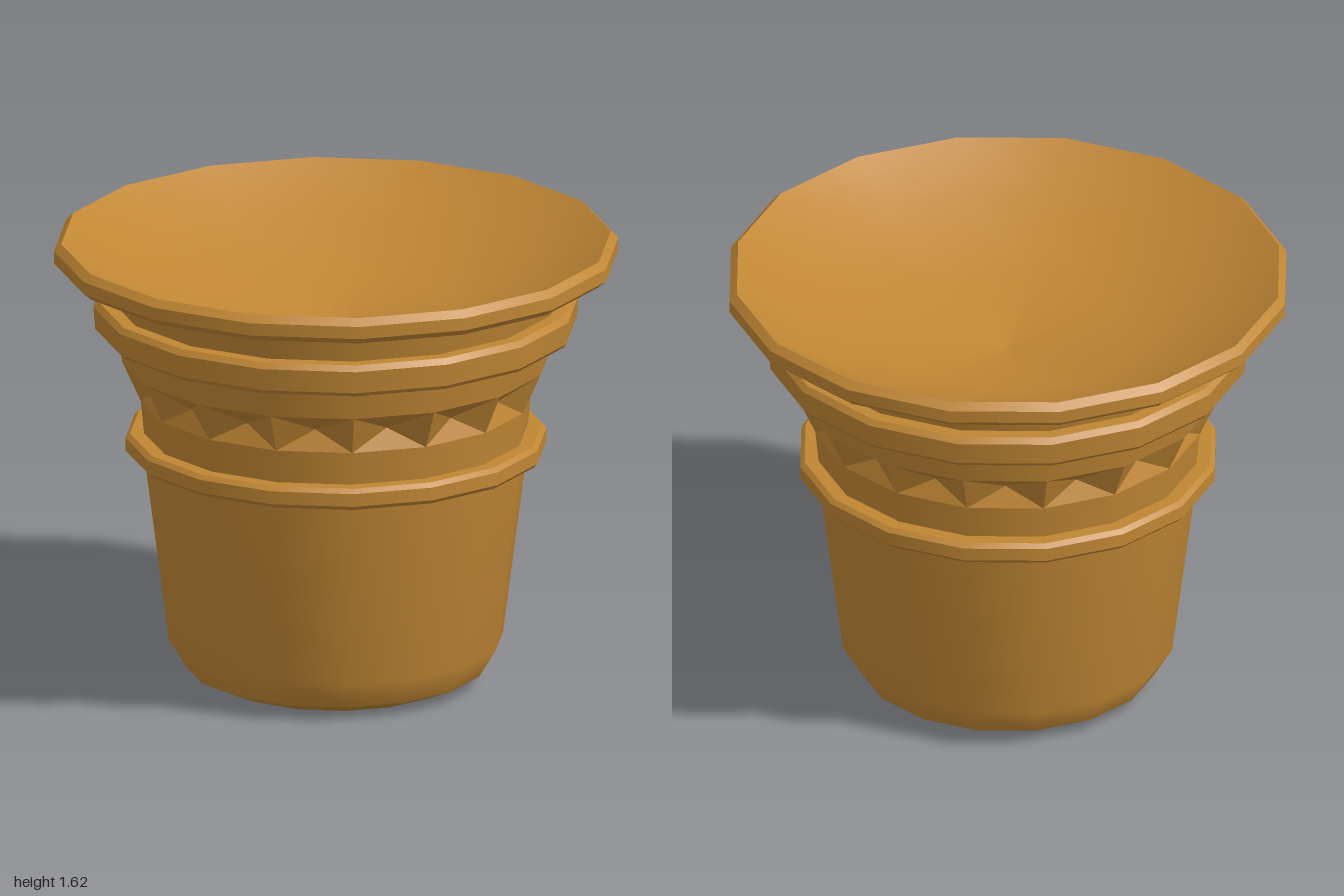
import * as THREE from 'three';
import { mergeGeometries } from 'three/addons/utils/BufferGeometryUtils.js';

const SIDES = 16;
const CREASE = Math.PI / 6;

export function createModel() {
  const group = new THREE.Group();
  group.name = 'pot';
  const material = new THREE.MeshStandardMaterial({ color: 0xc08634 });

  function add(name, geometry) {
    const mesh = new THREE.Mesh(geometry, material);
    mesh.name = name;
    group.add(mesh);
  }

  // Sixteen-sided turned part from [radius, height] pairs, listed bottom to top
  function turned(name, profile) {
    const points = profile.map(([r, y]) => new THREE.Vector2(r, y));
    const sections = splitAtCreases(points).map((p) => new THREE.LatheGeometry(p, SIDES));
    add(name, mergeGeometries(sections));
  }

  // Tapered lower body with rounded foot and closed base
  turned('lowerBody', [[0, 0], [0.42, 0], [0.53, 0.047], [0.592, 0.15], [0.68, 0.837]]);

  // Narrow bevelled ring at the waist, then the neck above it
  turned('lowerRing', [[0.68, 0.837], [0.73, 0.837], [0.746, 0.853], [0.746, 0.9], [0.73, 0.915], [0.68, 0.915]]);
  turned('neck', [[0.68, 0.915], [0.692, 1.035]]);

  // Frieze of inset four-sided pyramids, one per side
  add('friezeOfNotches', notchedBand(0.692, 1.035, 0.757, 1.18, 0.65, 1.11));

  // Flared collar, upper ring and throat
  turned('collar', [[0.757, 1.18], [0.777, 1.29]]);
  turned('upperRing', [[0.777, 1.29], [0.84, 1.29], [0.853, 1.305], [0.86, 1.385], [0.843, 1.405], [0.795, 1.405]]);
  turned('throat', [[0.795, 1.405], [0.82, 1.525]]);

  // Wide bevelled rim and the shallow bowl inside it
  turned('rim', [[0.82, 1.525], [0.97, 1.525], [1, 1.55], [1, 1.595], [0.974, 1.62]]);
  turned('bowl', [[0.974, 1.62], [0.76, 1.49], [0.42, 1.365], [0, 1.305]]);

  return group;
}

// Cuts a profile wherever it bends sharply, so each section shades smoothly
function splitAtCreases(points) {
  const sections = [[points[0]]];
  for (let i = 1; i < points.length; i++) {
    sections.at(-1).push(points[i]);
    if (i === points.length - 1) break;
    const before = points[i].clone().sub(points[i - 1]);
    const after = points[i + 1].clone().sub(points[i]);
    if (before.angleTo(after) > CREASE) sections.push([points[i]]);
  }
  return sections;
}

// Band whose every panel is pushed in to a point at its middle
function notchedBand(r0, y0, r1, y1, rMid, yMid) {
  const positions = [];
  const step = (Math.PI * 2) / SIDES;
  const at = (r, y, a) => [r * Math.sin(a), y, r * Math.cos(a)];
  for (let i = 0; i < SIDES; i++) {
    const a = i * step;
    const b = a + step;
    const corners = [at(r0, y0, a), at(r0, y0, b), at(r1, y1, b), at(r1, y1, a)];
    const middle = at(rMid, yMid, a + step / 2);
    corners.forEach((corner, k) => positions.push(...corner, ...corners[(k + 1) % 4], ...middle));
  }
  const geometry = new THREE.BufferGeometry();
  geometry.setAttribute('position', new THREE.Float32BufferAttribute(positions, 3));
  geometry.computeVertexNormals();
  return geometry;
}
